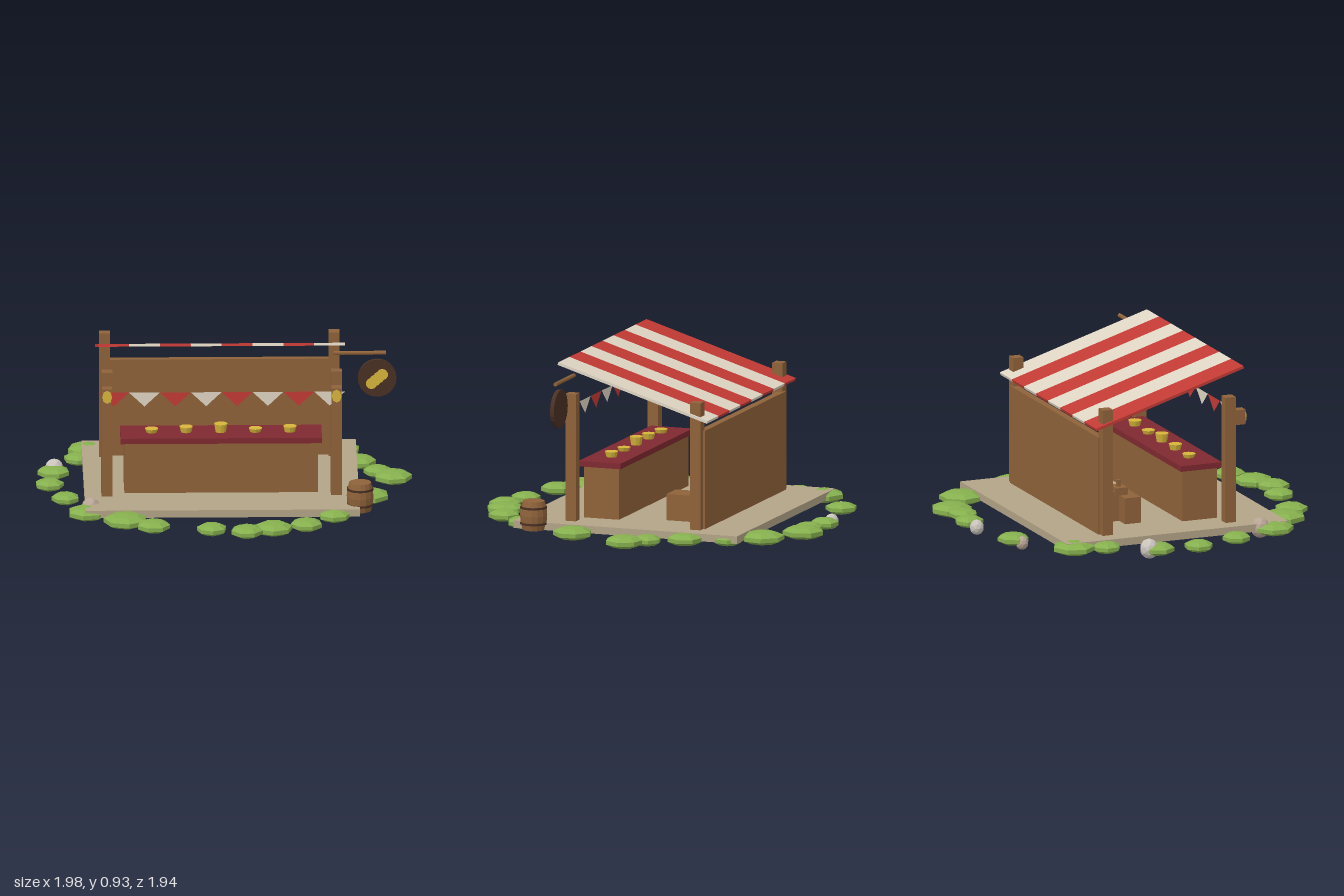
import * as THREE from 'three';

const mat = (name, color, flat = true) => {
  const m = new THREE.MeshStandardMaterial({ color, flatShading: flat });
  m.name = name;
  return m;
};

export function createModel() {
  const root = new THREE.Group();
  root.name = 'marketStall';
  const wood = mat('wood', 0x8f623a);
  const darkWood = mat('darkWood', 0x4a3024);
  const red = mat('redCloth', 0xc23a34);
  const cream = mat('creamCloth', 0xdfd5c3);
  const maroon = mat('counterCloth', 0x7f2930);
  const sand = mat('floorSand', 0xb3a488);
  const green = mat('leafGreen', 0x86b04e);
  const gold = mat('gold', 0xd6b53a);
  const tan = mat('tanStone', 0xb8a594);
  const grey = mat('greyStone', 0xcac4bc);
  red.side = cream.side = THREE.DoubleSide;

  const add = (name, geo, material, x, y, z, parent = root) => {
    const m = new THREE.Mesh(geo, material);
    m.name = name;
    m.position.set(x, y, z);
    parent.add(m);
    return m;
  };
  // Box given by its minimum and maximum on each axis
  const box = (name, material, x0, x1, y0, y1, z0, z1) =>
    add(name, new THREE.BoxGeometry(x1 - x0, y1 - y0, z1 - z0), material,
      (x0 + x1) / 2, (y0 + y1) / 2, (z0 + z1) / 2);

  // Floor, posts and back wall
  box('floor', sand, -0.74, 0.705, 0.045, 0.085, -0.645, 0.615);
  for (const x of [-0.623, 0.585])
    for (const z of [0.327, -0.375])
      box(z > 0 ? 'frontPost' : 'backPost', wood, x - 0.029, x + 0.029, 0.05, 0.765, z - 0.029, z + 0.029);
  box('backWall', wood, -0.615, 0.577, 0.08, 0.612, -0.415, -0.375);

  // Counter with its cloth top and piles of coins
  box('counter', wood, -0.53, 0.49, 0.08, 0.362, 0.102, 0.3);
  box('counterTop', maroon, -0.55, 0.51, 0.36, 0.39, 0.085, 0.32);
  [0.02, 0.03, 0.045, 0.02, 0.03].forEach((h, i) => {
    const pile = new THREE.CylinderGeometry(0.036, 0.028, h, 10);
    add('coinPile', pile, gold, -0.385 + i * 0.182, 0.39 + h / 2, 0.2);
  });

  // Sloping striped awning with a hanging flag per stripe
  const awning = new THREE.Group();
  awning.name = 'awning';
  awning.position.set(0, 0.798, -0.028);
  awning.rotation.x = -0.298;
  root.add(awning);
  const pitch = 0.1625;
  const flag = new THREE.Shape([
    new THREE.Vector2(-pitch / 2, 0), new THREE.Vector2(0, -0.077), new THREE.Vector2(pitch / 2, 0)]);
  for (let i = 0; i < 8; i++) {
    const x = -0.67 + (i + 0.5) * pitch, cloth = i % 2 ? cream : red;
    add('awningStripe', new THREE.BoxGeometry(pitch, 0.015, 0.88), cloth, x, 0, 0, awning);
    add('flag', new THREE.ShapeGeometry(flag), cloth, x, 0.667, 0.395);
  }

  // Lamps on the front posts
  for (const x of [-0.623, 0.585]) {
    box('lampCase', wood, x - 0.026, x + 0.026, 0.61, 0.69, 0.355, 0.413);
    const glow = add('lampGlow', new THREE.CylinderGeometry(0.026, 0.026, 0.008, 8), gold, x, 0.648, 0.415);
    glow.rotation.x = Math.PI / 2;
    glow.scale.z = 1.35;
  }

  // Round hanging sign with a row of coins
  const bar = add('signBar', new THREE.CylinderGeometry(0.011, 0.011, 0.275, 8), wood, 0.708, 0.858, 0.325);
  bar.rotation.z = Math.PI / 2;
  const disc = add('signDisc', new THREE.CylinderGeometry(0.102, 0.102, 0.022, 24), darkWood, 0.8, 0.72, 0.322);
  disc.rotation.x = Math.PI / 2;
  for (let i = 0; i < 4; i++) {
    const coin = add('signCoin', new THREE.CylinderGeometry(0.03, 0.03, 0.008, 10), gold,
      0.77 + i * 0.019, 0.692 + i * 0.017, 0.336 + i * 0.002);
    coin.rotation.x = Math.PI / 2;
  }

  // Barrel with hoops
  const barrel = new THREE.Group();
  barrel.name = 'barrel';
  barrel.position.set(0.707, 0.045, 0.5);
  root.add(barrel);
  const stave = [[0, 0], [0.058, 0], [0.069, 0.045], [0.072, 0.078], [0.069, 0.11], [0.058, 0.155], [0, 0.155]];
  add('barrelBody', new THREE.LatheGeometry(stave.map(p => new THREE.Vector2(...p)), 14), wood, 0, 0, 0, barrel);
  for (const y of [0.035, 0.12])
    add('barrelHoop', new THREE.CylinderGeometry(0.071, 0.071, 0.011, 14), darkWood, 0, y, 0, barrel);

  // Crates behind the counter
  box('crate', wood, 0.27, 0.41, 0.085, 0.225, -0.275, -0.135);
  box('crate', wood, -0.47, -0.31, 0.085, 0.225, -0.2, -0.11);
  box('crate', wood, -0.39, -0.25, 0.085, 0.245, -0.275, -0.19);
  box('crateStack', wood, -0.4, -0.31, 0.225, 0.265, -0.225, -0.155);
  box('crateHandle', wood, -0.365, -0.345, 0.26, 0.3, -0.2, -0.18);
  box('floorPeg', wood, -0.47, -0.31, 0.038, 0.05, -0.107, -0.087);

  // Ring of low bushes: x, z, radius
  const leaf = new THREE.SphereGeometry(1, 7, 5);
  [[-0.4, -0.81, 0.087], [0.03, -0.88, 0.08], [0.18, -0.85, 0.08], [0.305, -0.865, 0.115],
    [0.52, -0.72, 0.12], [-0.7, -0.59, 0.12], [-0.76, -0.43, 0.08], [-0.895, -0.19, 0.09],
    [-0.92, 0.03, 0.08], [-0.84, 0.28, 0.078], [-0.73, 0.54, 0.11], [-0.53, 0.68, 0.122],
    [-0.385, 0.785, 0.092], [-0.08, 0.845, 0.083], [0.105, 0.89, 0.09], [0.245, 0.835, 0.107],
    [0.42, 0.775, 0.088], [0.57, 0.61, 0.09], [0.76, 0.26, 0.11], [0.89, -0.08, 0.107],
    [0.81, -0.18, 0.077], [0.715, -0.355, 0.097], [0.645, -0.57, 0.085],
  ].forEach(([x, z, r], i) => {
    const bush = add('bush', leaf, green, x, 0.052, z);
    bush.scale.set(r, 0.021 + r * 0.13, r);
    bush.rotation.y = i * 1.3;
  });

  // Scattered stones
  const pebble = new THREE.IcosahedronGeometry(1, 1);
  for (const [x, z, r, m] of [[-0.075, -0.88, 0.038, grey], [-0.46, -0.785, 0.034, tan],
    [-0.89, -0.24, 0.05, grey], [-0.71, 0.47, 0.051, tan]])
    add('stone', pebble, m, x, 0.006 + r, z).scale.set(r, r * 1.1, r);
  return root;
}
